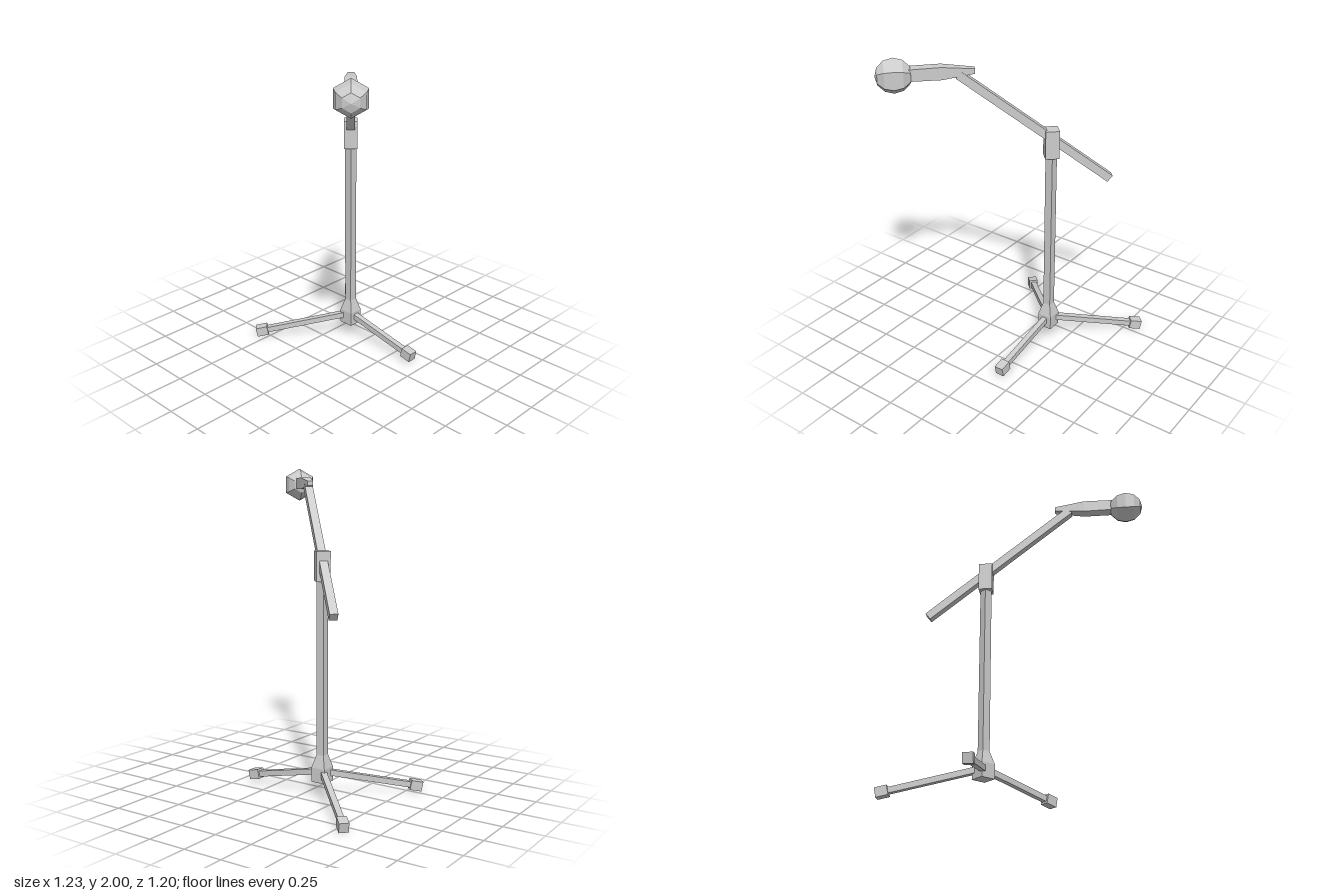
import * as THREE from 'three';

const material = new THREE.MeshStandardMaterial({ color: 0xcccccc, flatShading: true });

function add(parent, name, geometry, x = 0, y = 0, z = 0) {
  const mesh = new THREE.Mesh(geometry, material);
  mesh.name = name;
  mesh.position.set(x, y, z);
  parent.add(mesh);
  return mesh;
}

const box = (w, h, d) => new THREE.BoxGeometry(w, h, d);

// Sloping leg with a block foot; angle turns it about the pole
function addLeg(parent, name, angle, length) {
  const leg = new THREE.Group();
  leg.name = name;
  leg.position.y = 0.165;
  leg.rotation.set(Math.atan(0.21), angle, 0, 'YXZ');
  add(leg, 'legBar', box(0.036, 0.036, length), 0, 0, length / 2);
  add(leg, 'foot', box(0.058, 0.06, 0.075), 0, 0, length);
  parent.add(leg);
}

// Microphone body: three rectangular sections from tail to head
function handleGeometry() {
  const sections = [ // z, half width, bottom y, top y
    [0.45, 0.018, 1.888, 1.918],
    [0.64, 0.033, 1.865, 1.94],
    [0.85, 0.035, 1.865, 1.935],
  ];
  const geometry = new THREE.BoxGeometry(2, 2, 2, 1, 1, 2);
  const p = geometry.attributes.position;
  for (let i = 0; i < p.count; i++) {
    const [z, half, bottom, top] = sections[Math.round(p.getZ(i)) + 1];
    p.setXYZ(i, p.getX(i) * half, p.getY(i) > 0 ? top : bottom, z);
  }
  geometry.computeVertexNormals();
  return geometry;
}

export function createModel() {
  const model = new THREE.Group();
  model.name = 'microphoneStand';
  const stand = new THREE.Group();
  stand.name = 'stand';
  stand.position.set(0.14, 0, -0.125);
  model.add(stand);

  // Upright pole and hub with tapered collar
  add(stand, 'pole', box(0.05, 1.2, 0.05), 0, 0.8, 0);
  add(stand, 'hub', box(0.095, 0.09, 0.095), 0, 0.145, 0);
  const collar = new THREE.CylinderGeometry(0.025 * Math.SQRT2, 0.0475 * Math.SQRT2, 0.08, 4, 1, true);
  collar.rotateY(Math.PI / 4);
  add(stand, 'hubCollar', collar, 0, 0.23, 0);

  // Tripod legs
  addLeg(stand, 'frontLeg', 0, 0.521);
  addLeg(stand, 'backLeftLeg', Math.PI * 0.75, 0.607);
  addLeg(stand, 'backRightLeg', -Math.PI * 0.75, 0.607);

  // Arm assembly, its local +z pointing towards the microphone
  const arm = new THREE.Group();
  arm.name = 'arm';
  arm.rotation.y = Math.atan2(-0.72, 0.693);
  stand.add(arm);

  add(arm, 'clamp', box(0.085, 0.18, 0.085), 0, 1.42, 0);

  const low = new THREE.Vector2(-0.365, 1.165);
  const high = new THREE.Vector2(0.545, 1.885);
  const boom = add(arm, 'boom', box(0.05, 0.05, low.distanceTo(high)),
    0, (low.y + high.y) / 2, (low.x + high.x) / 2);
  boom.rotation.x = -Math.atan2(high.y - low.y, high.x - low.x);

  add(arm, 'microphoneBody', handleGeometry());

  // Faceted head with its axis along the body and a ridge on top
  const head = new THREE.SphereGeometry(0.107, 6, 6);
  head.rotateX(Math.PI / 2);
  head.rotateZ(Math.PI / 2);
  add(arm, 'microphoneHead', head, 0, 1.893, 0.91);

  return model;
}
